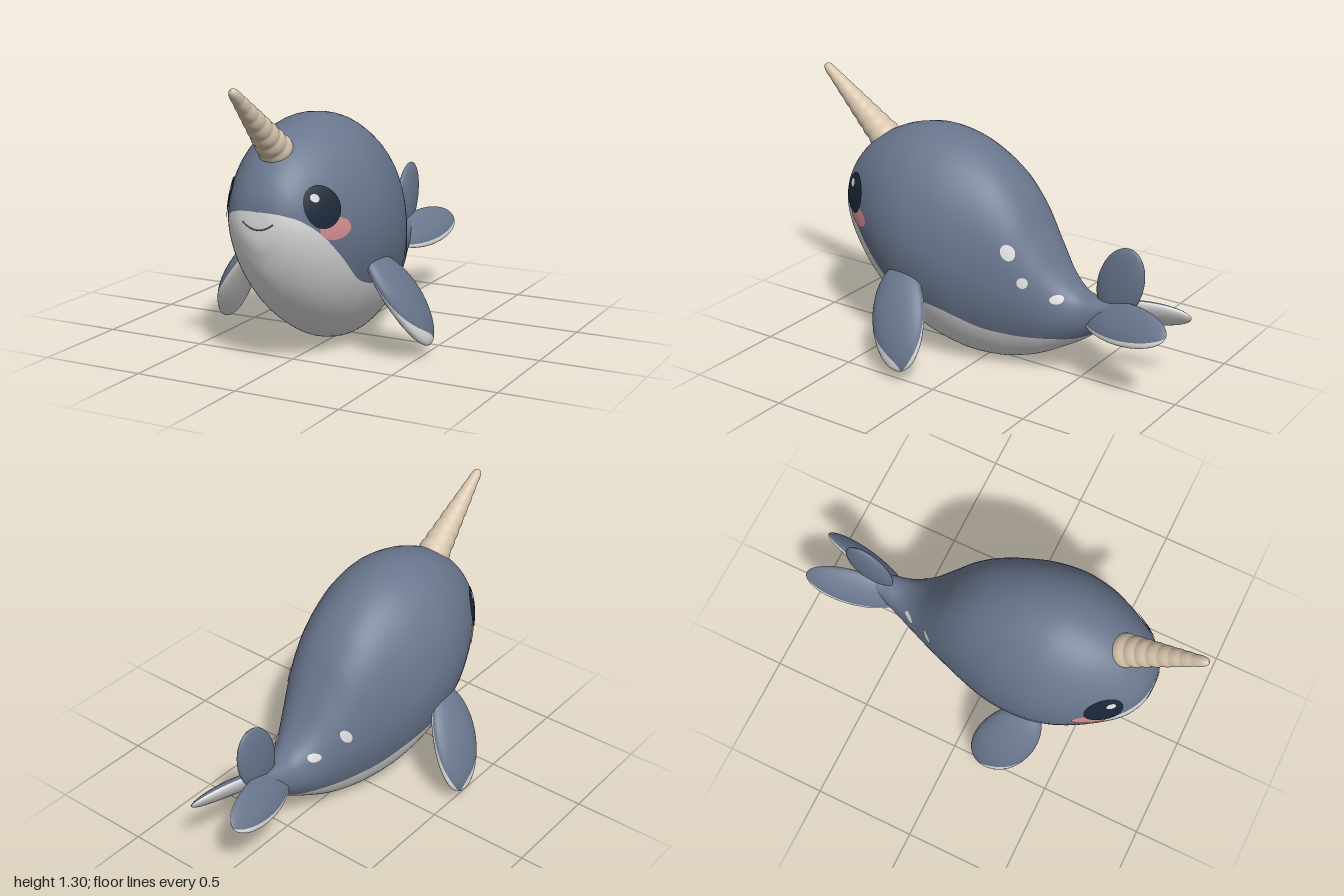
import * as THREE from 'three';

const mat = (name, color) => {
  const m = new THREE.MeshStandardMaterial({ color });
  m.name = name;
  return m;
};
const V = (x, y, z) => new THREE.Vector3(x, y, z);

// Body stations from nose to tail: z, top, bottom, half width, height of the colour border
const STATIONS = [
  [0.8, 0.68, 0.68, 0, 0.738], [0.795, 0.76, 0.6, 0.07, 0.738], [0.775, 0.83, 0.53, 0.125, 0.728],
  [0.73, 0.905, 0.425, 0.183, 0.7], [0.65, 0.985, 0.31, 0.24, 0.63], [0.54, 1.05, 0.205, 0.3, 0.51],
  [0.42, 1.09, 0.12, 0.345, 0.39], [0.28, 1.105, 0.05, 0.365, 0.34], [0.1, 1.07, 0.003, 0.347, 0.305],
  [-0.07, 0.975, 0.004, 0.292, 0.235], [-0.2, 0.84, 0.035, 0.237, 0.21], [-0.3, 0.68, 0.075, 0.19, 0.205],
  [-0.4, 0.525, 0.13, 0.142, 0.208], [-0.5, 0.44, 0.19, 0.1, 0.22], [-0.6, 0.428, 0.262, 0.068, 0.265],
  [-0.67, 0.425, 0.3, 0.05, 0.3], [-0.72, 0.37, 0.37, 0, 0.37],
];
const heights = new THREE.CatmullRomCurve3(STATIONS.map(s => V(s[0], s[1], s[2])), false, 'catmullrom');
const widths = new THREE.CatmullRomCurve3(STATIONS.map(s => V(s[0], s[3], s[4])), false, 'catmullrom');
const KEEL = 1.8; // the lower half is a slightly pointed superellipse

function station(t) {
  const h = heights.getPoint(t), w = widths.getPoint(t);
  const mid = h.z + (h.y - h.z) * 0.52;
  const back = 2 + 0.35 * THREE.MathUtils.smoothstep(-h.x, -0.1, 0.25); // fuller sides towards the tail
  return { z: h.x, mid, up: h.y - mid, down: mid - h.z, w: Math.max(w.y, 0), border: w.z, back };
}

// Half width of the body at a given z and y
function bodyX(z, y) {
  let a = 0, b = 1;
  for (let i = 0; i < 30; i++) {
    const m = (a + b) / 2;
    if (heights.getPoint(m).x > z) a = m; else b = m;
  }
  const s = station(a), d = y - s.mid, n = d > 0 ? s.back : KEEL;
  const r = Math.abs(d) / (d > 0 ? s.up : s.down);
  return r >= 1 ? 0 : s.w * Math.pow(1 - Math.pow(r, n), 1 / n);
}

// Closed skin of rings; arc(u) gives the angles covered by the first material
function skin(name, rows, half, point, arc, materials, side = 1) {
  const pos = [], first = [], second = [], n = half * 2;
  for (let i = 0; i <= rows; i++) {
    const u = i / rows, [a, b] = arc(u);
    for (let j = 0; j < n; j++) {
      const ang = j < half ? a + (b - a) * j / half : b + (a + Math.PI * 2 - b) * (j - half) / half;
      const p = point(u, ang);
      pos.push(p.x * side, p.y, p.z);
      if (i === rows) continue;
      const k = (j + 1) % n, A = i * n + j, B = i * n + k, C = A + n, D = B + n;
      (j < half ? first : second).push(...(side > 0 ? [A, B, C, B, D, C] : [A, C, B, B, C, D]));
    }
  }
  const g = new THREE.BufferGeometry();
  g.setAttribute('position', new THREE.Float32BufferAttribute(pos, 3));
  g.setIndex([...first, ...second]);
  g.addGroup(0, first.length, 0);
  g.addGroup(first.length, second.length, 1);
  g.computeVertexNormals();
  const mesh = new THREE.Mesh(g, materials);
  mesh.name = name;
  return mesh;
}

// Flattened, slightly bent leaf shape from root to tip
function lobe(name, o, materials, side = 1) {
  const axis = o.tip.clone().sub(o.root).normalize();
  const wide = o.across.clone().addScaledVector(axis, -o.across.dot(axis)).normalize();
  const out = axis.clone().cross(wide);
  const point = (u, a) => {
    const t = (1 - Math.cos(u * Math.PI)) / 2, s = Math.sin(u * Math.PI);
    return o.root.clone().lerp(o.tip, t)
      .addScaledVector(out, o.bend * 4 * t * (1 - t) + o.thick * s * Math.sin(a))
      .addScaledVector(wide, o.width * s * Math.cos(a));
  };
  const arc = u => {
    const t = (1 - Math.cos(u * Math.PI)) / 2, paint = Math.pow(t, 4) * o.tipPaint;
    return [paint * 0.7, Math.PI - o.edgePaint + o.rootWrap * (1 - t) - paint];
  };
  return skin(name, 28, 16, point, arc, materials, side);
}

// Thin painted oval that follows the flank
function patch(name, z0, y0, rz, ry, turn, lift, material, side) {
  const g = new THREE.RingGeometry(0, 1, 28, 6), p = g.attributes.position;
  for (let i = 0; i < p.count; i++) {
    const a = p.getX(i) * rz * side, b = p.getY(i) * ry;
    const z = z0 - (a * Math.cos(turn) - b * Math.sin(turn));
    const y = y0 + a * Math.sin(turn) + b * Math.cos(turn);
    p.setXYZ(i, side * (bodyX(z, y) + lift), y, z);
  }
  g.computeVertexNormals();
  const mesh = new THREE.Mesh(g, material);
  mesh.name = name;
  return mesh;
}

export function createModel() {
  const slate = mat('slate blue', 0x69768d), pale = mat('pale belly', 0xdedede);
  const ivory = mat('ivory horn', 0xd8c6ae), dark = mat('dark eye', 0x1b2838);
  const pink = mat('pink cheek', 0xd79293);
  const model = new THREE.Group();
  model.name = 'narwhal';

  // Body with a pale belly, its rings closer together at the nose
  const along = u => station(Math.pow(u, 1.5));
  const bodyPoint = (u, a) => {
    const s = along(u), c = Math.cos(a), n = Math.sin(a), e = 2 / (n < 0 ? KEEL : s.back);
    const x = -s.w * Math.sign(c) * Math.pow(Math.abs(c), e);
    const y = s.mid + (n < 0 ? -s.down : s.up) * Math.pow(Math.abs(n), e);
    return V(x, y, s.z);
  };
  const bodyArc = u => {
    const s = along(u), d = s.border - s.mid;
    const r = Math.min(1, Math.abs(d) / Math.max(d > 0 ? s.up : s.down, 1e-5));
    const a = Math.sign(d) * Math.asin(Math.pow(r, (d > 0 ? s.back : KEEL) / 2));
    return [a, Math.PI - a];
  };
  model.add(skin('body', 144, 36, bodyPoint, bodyArc, [slate, pale]));

  // Horn with rounded rings
  const len = 0.53, hornGeo = new THREE.CylinderGeometry(1, 1, len, 40, 100, true);
  const hp = hornGeo.attributes.position;
  for (let i = 0; i < hp.count; i++) {
    const t = hp.getY(i) / len + 0.5;
    const round = Math.sqrt(Math.max(0, 1 - Math.pow(Math.max(0, (t - 0.95) / 0.05), 2)));
    const r = (0.086 - 0.066 * t) * round * (0.94 + 0.07 * Math.abs(Math.sin(Math.PI * (9 * t + 0.3))));
    hp.setXYZ(i, hp.getX(i) * r, t * len, hp.getZ(i) * r);
  }
  hornGeo.computeVertexNormals();
  const horn = new THREE.Mesh(hornGeo, ivory);
  horn.name = 'horn';
  const dir = V(0, 0.325, 0.385).normalize();
  horn.quaternion.setFromUnitVectors(V(0, 1, 0), dir);
  horn.position.copy(V(0, 1.288, 0.995).addScaledVector(dir, -len));
  model.add(horn);

  // Upright fin at the tail
  model.add(lobe('tailFin', {
    root: V(0, 0.35, -0.64), tip: V(0, 0.702, -0.755), across: V(0, 0, -1),
    width: 0.115, thick: 0.03, bend: 0, tipPaint: 0, edgePaint: 0, rootWrap: 0,
  }, [slate, slate]));

  for (const side of [1, -1]) {
    const label = side > 0 ? 'left' : 'right';

    // Flippers and flukes, slate outside and pale inside
    model.add(lobe(label + 'Flipper', {
      root: V(0.295, 0.485, 0.33), tip: V(0.535, 0.06, 0.16), across: V(0, 0, -1),
      width: 0.14, thick: 0.052, bend: 0.02, tipPaint: 1.2, edgePaint: 0.6, rootWrap: 1,
    }, [slate, pale], side));
    model.add(lobe(label + 'Fluke', {
      root: V(0.02, 0.34, -0.52), tip: V(0.122, 0.385, -1), across: V(-0.62, 0.78, 0),
      width: 0.1, thick: 0.032, bend: 0.01, tipPaint: 0.3, edgePaint: 0.6, rootWrap: 0,
    }, [slate, pale], side));

    // Painted face and flank spots
    model.add(patch(label + 'Cheek', 0.595, 0.655, 0.07, 0.05, 0, 0.004, pink, side));
    model.add(patch(label + 'Eye', 0.645, 0.755, 0.077, 0.094, 0, 0.007, dark, side));
    model.add(patch(label + 'EyeShine', 0.672, 0.797, 0.018, 0.018, 0, 0.0095, pale, side));
    model.add(patch(label + 'MiddleSpot', -0.29, 0.495, 0.022, side > 0 ? 0.026 : 0.036, 0.4 * side, 0.004, pale, side));
    model.add(patch(label + 'RearSpot', -0.43, 0.42, 0.028, 0.021, 0, 0.004, pale, side));
  }
  model.add(patch('leftUpperSpot', -0.22, 0.635, 0.026, 0.04, 0.5, 0.004, pale, 1));

  // Smile line laid on the face
  const smile = [];
  for (let i = -6; i <= 6; i++) {
    const x = i * 0.0125, y = 0.66 + 5.3 * x * x;
    let near = 0.6, far = 0.8;
    for (let k = 0; k < 25; k++) {
      const m = (near + far) / 2;
      if (bodyX(m, y) > Math.abs(x)) near = m; else far = m;
    }
    smile.push(V(x, y, near));
  }
  const mouth = new THREE.Mesh(
    new THREE.TubeGeometry(new THREE.CatmullRomCurve3(smile), 32, 0.003, 6), slate);
  mouth.name = 'mouth';
  model.add(mouth);

  return model;
}
